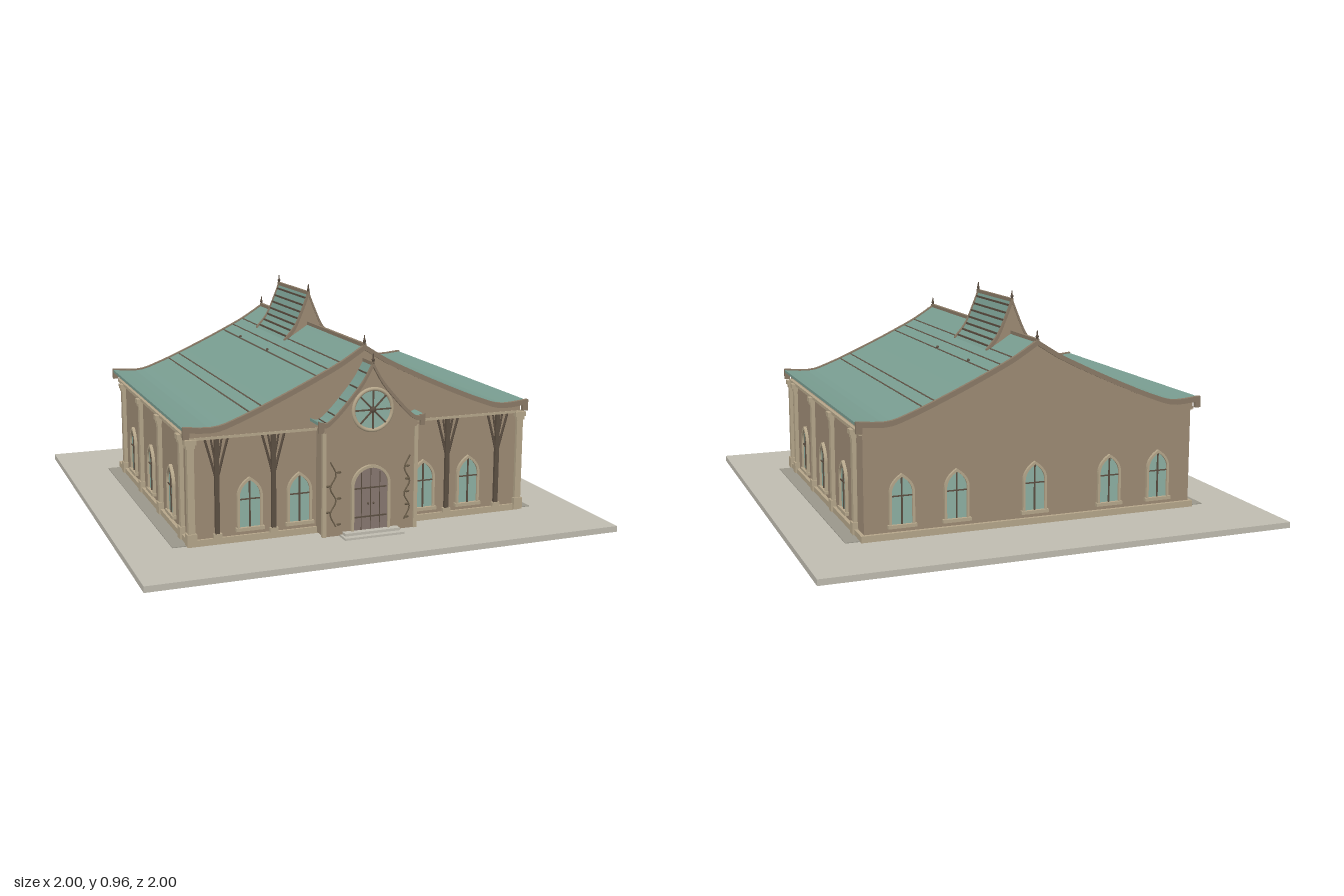
import * as THREE from 'three';

const mat = (color) => new THREE.MeshStandardMaterial({ color, side: THREE.DoubleSide });
const M = {
  stone: mat(0xbfbcb0), wall: mat(0x9c8a74), trim: mat(0xb5a68a), roof: mat(0x789c90),
  glass: mat(0x8db0a2), timber: mat(0x5c4f42), door: mat(0x877770), barge: mat(0x8a7a66),
  paving: mat(0x9a978b), vine: mat(0x6b5e4a),
};

function add(parent, name, geo, material, x = 0, y = 0, z = 0) {
  const mesh = new THREE.Mesh(geo, material);
  mesh.name = name;
  mesh.position.set(x, y, z);
  parent.add(mesh);
  return mesh;
}

// Box given by its extents
function box(parent, name, material, x0, x1, y0, y1, z0, z1) {
  return add(parent, name, new THREE.BoxGeometry(x1 - x0, y1 - y0, z1 - z0), material,
    (x0 + x1) / 2, (y0 + y1) / 2, (z0 + z1) / 2);
}

const extrude = (shape, depth) =>
  new THREE.ExtrudeGeometry(shape, { depth, bevelEnabled: false, curveSegments: 12 });

// Right half of a swept roof line, ridge to eave
const roofLine = (pts) =>
  new THREE.SplineCurve(pts.map(([x, y]) => new THREE.Vector2(x, y))).getPoints(24);

// Eave to eave outline, mirrored over the ridge
function fullLine(half, dy = 0) {
  const right = half.map((p) => new THREE.Vector2(p.x, p.y + dy));
  const left = right.slice(1).reverse().map((p) => new THREE.Vector2(-p.x, p.y));
  return [...left, ...right];
}

// Curved band following the roof line, from z0 to z1
function roofBand(parent, name, material, half, up, down, z0, z1) {
  const shape = new THREE.Shape([...fullLine(half, up), ...fullLine(half, -down).reverse()]);
  return add(parent, name, extrude(shape, z1 - z0), material, 0, 0, z0);
}

// Wall filling the space under a roof line
function gableWall(parent, name, half, bottom, maxX, z0, z1) {
  const line = fullLine(half, -0.005).filter((p) => Math.abs(p.x) <= maxX);
  const end = line[line.length - 1].x;
  const shape = new THREE.Shape([...line, new THREE.Vector2(end, bottom), new THREE.Vector2(-end, bottom)]);
  return add(parent, name, extrude(shape, z1 - z0), M.wall, 0, 0, z0);
}

function finial(parent, y, z, h) {
  add(parent, 'finial', new THREE.CylinderGeometry(0.002, 0.006, h, 8), M.timber, 0, y + h / 2, z);
  add(parent, 'finialKnob', new THREE.SphereGeometry(0.007, 8, 6), M.timber, 0, y + h * 0.4, z);
}

// Arch outline standing on y = 0, pointed or round
function arch(ShapeType, w, spring, top, round) {
  const s = new ShapeType();
  s.moveTo(-w, 0);
  s.lineTo(w, 0);
  s.lineTo(w, spring);
  if (round) s.absellipse(0, spring, w, top - spring, 0, Math.PI, false);
  else {
    s.quadraticCurveTo(w, spring + (top - spring) * 0.6, 0, top);
    s.quadraticCurveTo(-w, spring + (top - spring) * 0.6, -w, spring);
  }
  s.lineTo(-w, 0);
  return s;
}

function archWindow(parent, x, z, turn) {
  const g = new THREE.Group();
  g.name = 'window';
  g.position.set(x, 0.08, z);
  g.rotation.y = turn;
  const frame = arch(THREE.Shape, 0.053, 0.13, 0.21);
  frame.holes.push(arch(THREE.Path, 0.043, 0.13, 0.197));
  add(g, 'windowFrame', extrude(frame, 0.013), M.trim);
  add(g, 'windowGlass', extrude(arch(THREE.Shape, 0.044, 0.13, 0.198), 0.004), M.glass);
  box(g, 'windowMullion', M.timber, -0.003, 0.003, 0, 0.195, 0.002, 0.009);
  box(g, 'windowCrossbar', M.timber, -0.043, 0.043, 0.117, 0.122, 0.002, 0.009);
  box(g, 'windowSill', M.trim, -0.06, 0.06, -0.01, 0.004, 0, 0.018);
  parent.add(g);
}

// Square pilaster with base and capital
function pilaster(parent, x, z) {
  const g = new THREE.Group();
  g.name = 'pilaster';
  g.position.set(x, 0, z);
  box(g, 'pilasterShaft', M.trim, -0.014, 0.014, 0.05, 0.46, -0.014, 0.014);
  box(g, 'pilasterBase', M.trim, -0.02, 0.02, 0.03, 0.08, -0.02, 0.02);
  box(g, 'pilasterNeck', M.trim, -0.018, 0.018, 0.425, 0.44, -0.018, 0.018);
  box(g, 'pilasterCapital', M.trim, -0.024, 0.024, 0.44, 0.46, -0.02, 0.02);
  parent.add(g);
}

function tube(parent, name, pts, r, material, segments = 8) {
  const curve = new THREE.CatmullRomCurve3(pts.map((p) => new THREE.Vector3(...p)));
  add(parent, name, new THREE.TubeGeometry(curve, segments, r, 6), material);
}

export function createModel() {
  const model = new THREE.Group();
  model.name = 'hall';

  // Ground, paving and plinth
  box(model, 'ground', M.stone, -1, 1, 0, 0.025, -1, 1);
  box(model, 'paving', M.paving, -0.8, 0.8, 0.02, 0.028, -0.63, 0.63);
  box(model, 'plinth', M.trim, -0.74, 0.74, 0.025, 0.052, -0.65, 0.65);

  // Main walls with cornice
  box(model, 'walls', M.wall, -0.725, 0.725, 0.05, 0.465, -0.635, 0.64);
  for (const s of [-1, 1]) {
    box(model, 'sideCornice', M.trim, s * 0.73 - 0.007, s * 0.73 + 0.007, 0.452, 0.465, -0.635, 0.645);
    for (const z of [0.53, 0.175, -0.175, -0.53]) pilaster(model, s * 0.728, z);
    pilaster(model, s * 0.726, 0.64);
    for (const z of [0.35, 0, -0.35]) archWindow(model, s * 0.725, z, s * Math.PI / 2);
    for (const x of [0.275, 0.485]) archWindow(model, s * x, 0.64, 0);
    for (const x of [0.34, 0.57]) archWindow(model, s * x, -0.635, Math.PI);
    // Branching timber posts
    for (const x of [0.385, 0.62]) {
      const cx = s * x;
      box(model, 'treePost', M.timber, cx - 0.009, cx + 0.009, 0.05, 0.455, 0.638, 0.654);
      box(model, 'treePostFoot', M.trim, cx - 0.017, cx + 0.017, 0.05, 0.07, 0.638, 0.656);
      for (const t of [-1, 1]) {
        tube(model, 'treeBranch', [[cx, 0.28, 0.647], [cx + t * 0.02, 0.36, 0.647], [cx + t * 0.046, 0.455, 0.647]], 0.005, M.timber);
        tube(model, 'treeTwig', [[cx, 0.34, 0.647], [cx + t * 0.01, 0.39, 0.647], [cx + t * 0.022, 0.455, 0.647]], 0.004, M.timber);
      }
    }
  }
  archWindow(model, 0, -0.635, Math.PI);
  box(model, 'frontCornice', M.trim, -0.735, 0.735, 0.455, 0.466, 0.636, 0.65);
  box(model, 'backCornice', M.wall, -0.735, 0.735, 0.457, 0.466, -0.643, -0.63);

  // Main roof, gables and bargeboards
  const main = roofLine([[0, 0.787], [0.1, 0.725], [0.2, 0.675], [0.3, 0.628], [0.42, 0.575], [0.53, 0.53], [0.63, 0.5], [0.755, 0.508]]);
  roofBand(model, 'mainRoof', M.roof, main, 0, 0.012, -0.65, 0.65);
  gableWall(model, 'frontGable', main, 0.462, 0.75, 0.632, 0.648);
  gableWall(model, 'backGable', main, 0.462, 0.75, -0.648, -0.632);
  for (const z of [-0.655, 0.655]) {
    roofBand(model, 'bargeboard', M.barge, main, 0.006, 0.016, z - 0.008, z + 0.008);
    finial(model, 0.79, z, 0.04);
    for (const s of [-1, 1]) box(model, 'eaveEnd', M.barge, s * 0.745 - 0.012, s * 0.745 + 0.012, 0.465, 0.512, z - 0.008, z + 0.008);
  }
  box(model, 'mainRidge', M.barge, -0.007, 0.007, 0.78, 0.797, -0.66, 0.66);

  // Long dark seams set almost flush in the roof
  for (const s of [-1, 1]) for (const x of [0.1, 0.15, 0.2, 0.43, 0.48]) {
    const i = main.findIndex((p) => p.x > x);
    const [a, b] = [main[i - 1], main[i]];
    const y = a.y + (b.y - a.y) * (x - a.x) / (b.x - a.x);
    const seam = box(model, 'roofSeam', M.timber, s * x - 0.003, s * x + 0.003, y - 0.003, y + 0.001, -0.645, 0.645);
    seam.rotation.z = s * Math.atan2(b.y - a.y, b.x - a.x);
  }

  // Ridge lantern
  const lantern = roofLine([[0, 0.925], [0.03, 0.85], [0.065, 0.775], [0.115, 0.715]]);
  box(model, 'lanternBody', M.wall, -0.08, 0.08, 0.466, 0.72, -0.34, -0.01);
  roofBand(model, 'lanternRoof', M.roof, lantern, 0, 0.012, -0.38, 0.01);
  box(model, 'lanternRidge', M.barge, -0.006, 0.006, 0.918, 0.932, -0.39, 0.02);
  for (const z of [-0.385, 0.013]) {
    roofBand(model, 'lanternBargeboard', M.barge, lantern, 0.008, 0.014, z - 0.007, z + 0.007);
    gableWall(model, 'lanternGable', lantern, 0.7, 0.11, z - 0.004, z + 0.004);
    finial(model, 0.925, z, 0.04);
    for (const s of [-1, 1]) add(model, 'roofKnob', new THREE.SphereGeometry(0.007, 8, 6), M.timber, s * 0.195, 0.68, z);
  }
  for (const s of [-1, 1]) for (let i = 3; i < 22; i += 3) {
    const p = lantern[i];
    box(model, 'lanternSeam', M.timber, s * p.x - 0.003, s * p.x + 0.003, p.y - 0.004, p.y + 0.004, -0.38, 0.01);
  }

  // Porch with its own small roof
  const porch = roofLine([[0, 0.732], [0.04, 0.662], [0.09, 0.6], [0.15, 0.535], [0.195, 0.5], [0.23, 0.508]]);
  box(model, 'porchWalls', M.wall, -0.2, 0.2, 0.03, 0.465, 0.63, 0.728);
  gableWall(model, 'porchGable', porch, 0.46, 0.21, 0.715, 0.735);
  roofBand(model, 'porchRoof', M.roof, porch, 0, 0.012, 0.64, 0.74);
  roofBand(model, 'porchBargeboard', M.barge, porch, 0.005, 0.014, 0.738, 0.75);
  box(model, 'porchRidge', M.barge, -0.006, 0.006, 0.724, 0.738, 0.65, 0.75);
  finial(model, 0.73, 0.745, 0.04);
  for (const s of [-1, 1]) {
    box(model, 'porchPilaster', M.trim, s * 0.2 - 0.008, s * 0.2 + 0.008, 0.03, 0.465, 0.718, 0.734);
    box(model, 'porchEaveEnd', M.barge, s * 0.22 - 0.01, s * 0.22 + 0.01, 0.465, 0.508, 0.738, 0.75);
    for (let i = 3; i < 23; i += 4) {
      const p = porch[i];
      box(model, 'porchSeam', M.timber, s * p.x - 0.002, s * p.x + 0.002, p.y - 0.003, p.y + 0.003, 0.655, 0.738);
    }
    // Climbing vine
    const vine = [0, 1, 2, 3, 4, 5].map((i) => [s * (0.162 + 0.012 * (i % 2 ? 1 : -1)), 0.07 + i * 0.054, 0.73]);
    tube(model, 'vine', vine, 0.003, M.vine, 30);
    vine.slice(0, 5).forEach(([x, y, z], i) => {
      const leaf = add(model, 'vineLeaf', new THREE.SphereGeometry(0.011, 6, 4), M.vine, x + (i % 2 ? -0.012 : 0.012), y + 0.01, z + 0.002);
      leaf.scale.set(1, 0.5, 0.4);
    });
  }

  // Rose window
  const rose = new THREE.Group();
  rose.name = 'roseWindow';
  rose.position.set(0, 0.545, 0.737);
  add(rose, 'roseGlass', new THREE.CylinderGeometry(0.082, 0.082, 0.012, 32), M.glass, 0, 0, 0.004).rotation.x = Math.PI / 2;
  add(rose, 'roseRing', new THREE.TorusGeometry(0.084, 0.008, 8, 32), M.trim, 0, 0, 0.01);
  add(rose, 'roseHub', new THREE.SphereGeometry(0.014, 12, 8), M.timber, 0, 0, 0.01).scale.z = 0.6;
  for (let i = 0; i < 4; i++) {
    add(rose, 'roseSpoke', new THREE.BoxGeometry(0.16, 0.006, 0.006), M.timber, 0, 0, 0.012).rotation.z = i * Math.PI / 4;
  }
  model.add(rose);

  // Arched door
  const frame = arch(THREE.Shape, 0.085, 0.19, 0.275, true);
  frame.holes.push(arch(THREE.Path, 0.074, 0.19, 0.264, true));
  add(model, 'doorFrame', extrude(frame, 0.014), M.trim, 0, 0.04, 0.727);
  add(model, 'door', extrude(arch(THREE.Shape, 0.075, 0.19, 0.265, true), 0.005), M.door, 0, 0.04, 0.727);
  for (const x of [-0.04, 0, 0.04]) box(model, 'doorJoint', M.timber, x - 0.0015, x + 0.0015, 0.045, x ? 0.285 : 0.3, 0.73, 0.734);
  for (const y of [0.1, 0.22]) box(model, 'doorBand', M.timber, -0.07, 0.07, y - 0.003, y + 0.003, 0.73, 0.735);
  for (const x of [-0.012, 0.012]) add(model, 'doorHandle', new THREE.SphereGeometry(0.005, 8, 6), M.timber, x, 0.155, 0.736);

  // Entrance steps
  box(model, 'lowerStep', M.stone, -0.13, 0.13, 0.02, 0.034, 0.7, 0.785);
  box(model, 'upperStep', M.stone, -0.12, 0.12, 0.02, 0.045, 0.7, 0.76);
  return model;
}
